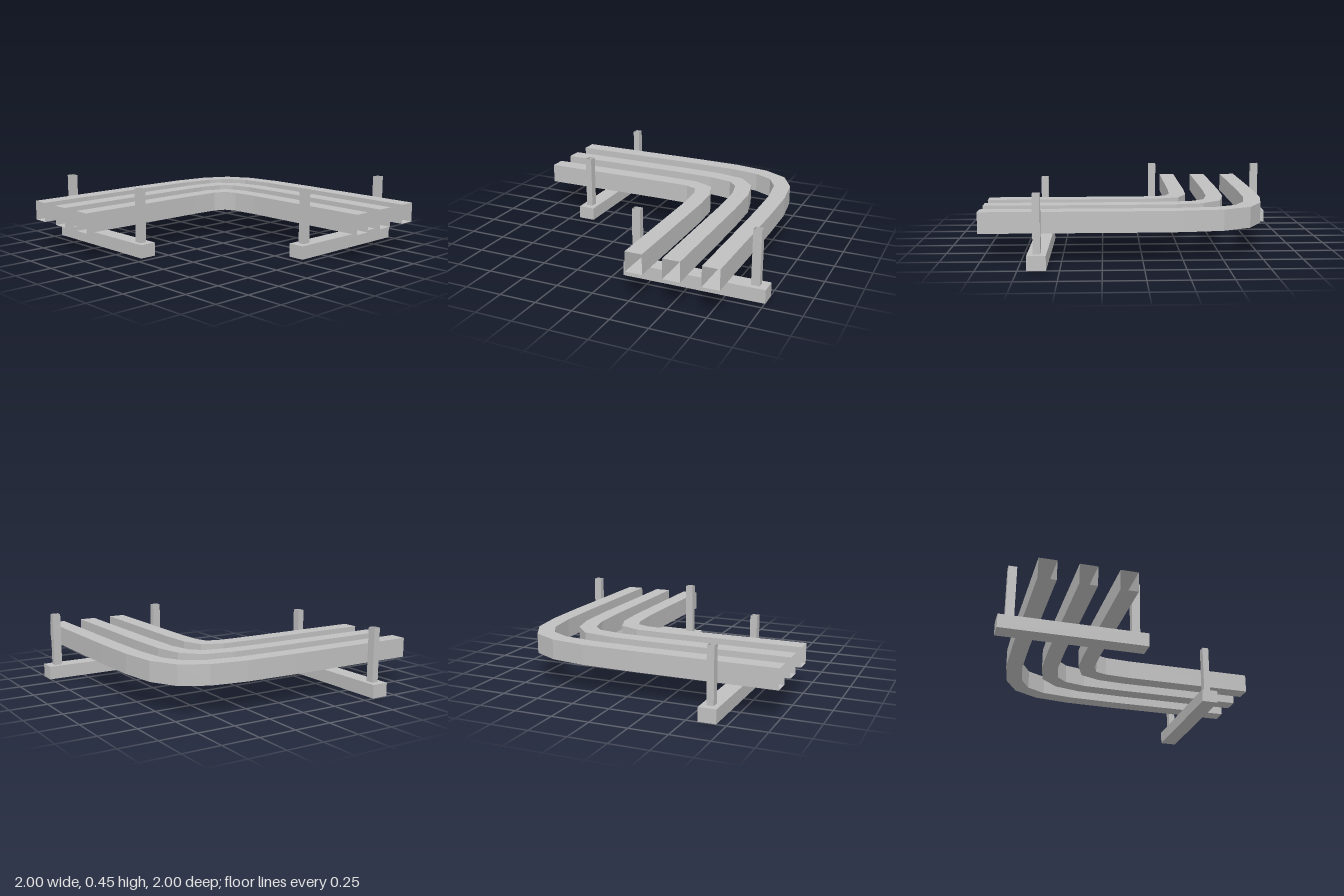
import * as THREE from 'three';

// Sweeps an open-ended rectangular duct along a mitred ground path of [x, z] points
function ductGeometry(path, halfWidth, low, high) {
  const points = path.map(([x, z]) => new THREE.Vector2(x, z));
  const side = (a, b) => {
    const d = b.clone().sub(a).normalize();
    return new THREE.Vector2(d.y, -d.x);
  };
  const rings = points.map((p, i) => {
    const before = side(points[Math.max(i - 1, 0)], points[Math.max(i, 1)]);
    const last = points.length - 1;
    const after = side(points[Math.min(i, last - 1)], points[Math.min(i + 1, last)]);
    const n = before.clone().add(after).normalize();
    n.multiplyScalar(halfWidth / n.dot(before));
    const out = p.clone().add(n), inn = p.clone().sub(n);
    return [[out.x, low, out.y], [out.x, high, out.y], [inn.x, high, inn.y], [inn.x, low, inn.y]];
  });
  const position = [];
  for (let i = 0; i < rings.length - 1; i++) {
    for (let k = 0; k < 4; k++) {
      const m = (k + 1) % 4;
      const a = rings[i][k], b = rings[i][m], c = rings[i + 1][m], d = rings[i + 1][k];
      position.push(...a, ...b, ...c, ...a, ...c, ...d);
    }
  }
  const geometry = new THREE.BufferGeometry();
  geometry.setAttribute('position', new THREE.Float32BufferAttribute(position, 3));
  geometry.computeVertexNormals();
  return geometry;
}

export function createModel() {
  const model = new THREE.Group();
  model.name = 'ductRack';
  const grey = new THREE.MeshStandardMaterial({ color: 0xc0c0c0, flatShading: true, side: THREE.DoubleSide });
  grey.name = 'metal grey';

  const add = (parent, name, geometry, x = 0, y = 0, z = 0) => {
    const mesh = new THREE.Mesh(geometry, grey);
    mesh.name = name;
    mesh.position.set(x, y, z);
    parent.add(mesh);
  };

  // Three parallel ducts bending round the corner
  const ducts = {
    outerDuct: [[-0.764, 1], [-0.76, 0.08], [-0.75, -0.27], [-0.713, -0.5], [-0.632, -0.648],
      [-0.479, -0.731], [-0.245, -0.763], [0.086, -0.771], [1, -0.771]],
    middleDuct: [[-0.519, 1], [-0.516, 0.08], [-0.506, -0.205], [-0.469, -0.388], [-0.372, -0.477],
      [-0.207, -0.515], [0.086, -0.525], [1, -0.525]],
    innerDuct: [[-0.271, 1], [-0.27, 0.08], [-0.262, -0.123], [-0.217, -0.23], [-0.109, -0.27],
      [0.086, -0.282], [1, -0.282]],
  };
  for (const [name, path] of Object.entries(ducts)) add(model, name, ductGeometry(path, 0.056, 0.19, 0.322));

  // Support: a solid cross beam with two hollow posts, built along x
  const post = new THREE.CylinderGeometry(0.0275 * Math.SQRT2, 0.0275 * Math.SQRT2, 0.36, 4, 1, true);
  post.rotateY(Math.PI / 4);
  post.scale(1, 1, 0.83);
  const support = (name, x, z, turn) => {
    const group = new THREE.Group();
    group.name = name;
    add(group, 'crossBeam', new THREE.BoxGeometry(0.945, 0.09, 0.115), 0, 0.045, 0);
    for (const s of [-1, 1]) add(group, 'post', post, s * 0.396, 0.27, 0);
    group.position.set(x, 0, z);
    group.rotation.y = turn;
    model.add(group);
  };
  support('frontSupport', -0.525, 0.63, 0);
  support('sideSupport', 0.637, -0.53, Math.PI / 2);

  return model;
}
